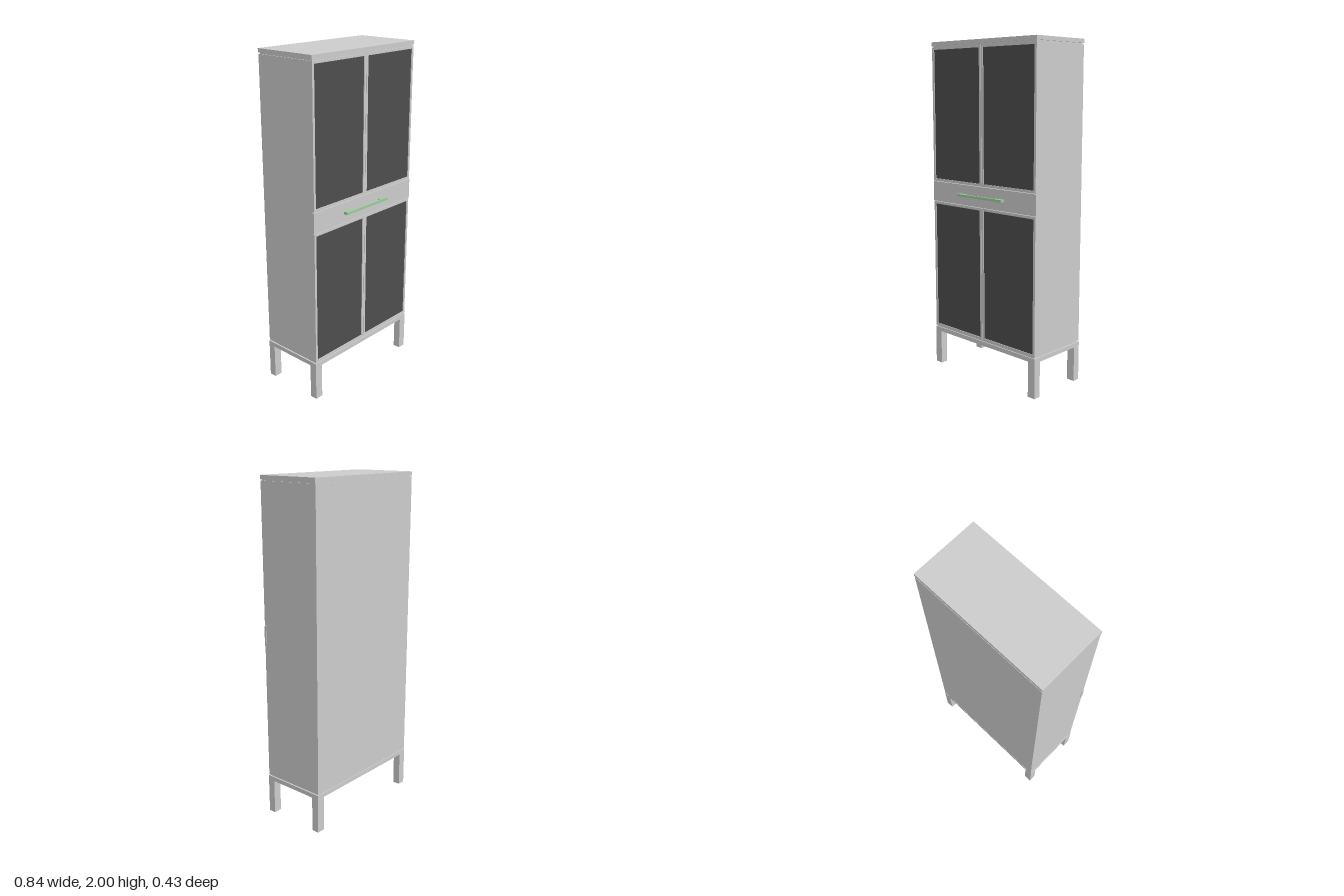
import * as THREE from 'three';

const grey = new THREE.MeshStandardMaterial({ color: 0xcccccc });
const dark = new THREE.MeshStandardMaterial({ color: 0x4d4d4d });
const green = new THREE.MeshStandardMaterial({ color: 0x99cc99 });

const FRONT = 0.187, BACK = -0.2125, HALF = 0.419;

export function createModel() {
  const model = new THREE.Group();
  model.name = 'cabinet';

  const add = (name, geometry, material = grey) => {
    const mesh = new THREE.Mesh(geometry, material);
    mesh.name = name;
    model.add(mesh);
    return mesh;
  };

  // Box given by its lower and upper limits on each axis
  const box = (name, [x0, x1], [y0, y1], [z0, z1], material) =>
    add(name, new THREE.BoxGeometry(x1 - x0, y1 - y0, z1 - z0), material)
      .position.set((x0 + x1) / 2, (y0 + y1) / 2, (z0 + z1) / 2);

  const rect = (path, x0, x1, y0, y1) =>
    path.moveTo(x0, y0).lineTo(x1, y0).lineTo(x1, y1).lineTo(x0, y1).closePath();

  // Stand: flat base on four square legs
  box('base', [-HALF, HALF], [0.21, 0.236], [BACK, FRONT]);
  for (const side of [-1, 1]) {
    const x = side < 0 ? [-HALF, -HALF + 0.05] : [HALF - 0.05, HALF];
    box('frontLeg', x, [0, 0.21], [FRONT - 0.045, FRONT]);
    box('backLeg', x, [0, 0.21], [BACK, BACK + 0.045]);
  }

  // Carcass, with narrow shadow gaps below and above
  box('bottomGap', [-0.41, 0.41], [0.236, 0.243], [BACK + 0.005, FRONT - 0.006]);
  box('carcass', [-0.416, 0.416], [0.243, 1.97], [BACK, 0.172]);
  box('topGap', [-0.41, 0.41], [1.97, 1.977], [BACK + 0.005, FRONT - 0.006]);
  box('top', [-HALF, HALF], [1.977, 2], [BACK, FRONT]);

  // Four framed doors with slightly recessed dark panels
  const frame = 0.015;
  for (const [y0, y1] of [[0.243, 1.043], [1.17, 1.97]]) {
    for (const [x0, x1] of [[-0.416, -0.001], [0.001, 0.416]]) {
      const shape = new THREE.Shape();
      rect(shape, x0, x1, y0, y1);
      const hole = new THREE.Path();
      rect(hole, x0 + frame, x1 - frame, y0 + frame, y1 - frame);
      shape.holes.push(hole);
      const geometry = new THREE.ExtrudeGeometry(shape, { depth: 0.014, bevelEnabled: false });
      add('doorFrame', geometry.translate(0, 0, 0.172));
      box('doorPanel', [x0 + frame, x1 - frame], [y0 + frame, y1 - frame], [0.172, 0.182], dark);
    }
  }

  // Drawer front between the door pairs
  box('drawerFront', [-HALF, HALF], [1.046, 1.167], [0.172, FRONT]);

  // Handle: one bracket profile, drawn in x and z, extruded upward
  const profile = new THREE.Shape();
  const r = 0.004, end = 0.2125;
  profile.moveTo(-0.18, FRONT).lineTo(-0.18, end - r)
    .quadraticCurveTo(-0.18, end, -0.18 + r, end).lineTo(0.18 - r, end)
    .quadraticCurveTo(0.18, end, 0.18, end - r).lineTo(0.18, FRONT)
    .lineTo(0.118, FRONT).lineTo(0.118, 0.202)
    .lineTo(-0.118, 0.202).lineTo(-0.118, FRONT).closePath();
  const handle = new THREE.ExtrudeGeometry(profile, { depth: 0.014, bevelEnabled: false, curveSegments: 4 });
  add('drawerHandle', handle.rotateX(Math.PI / 2).translate(0, 1.113, 0), green);

  return model;
}
